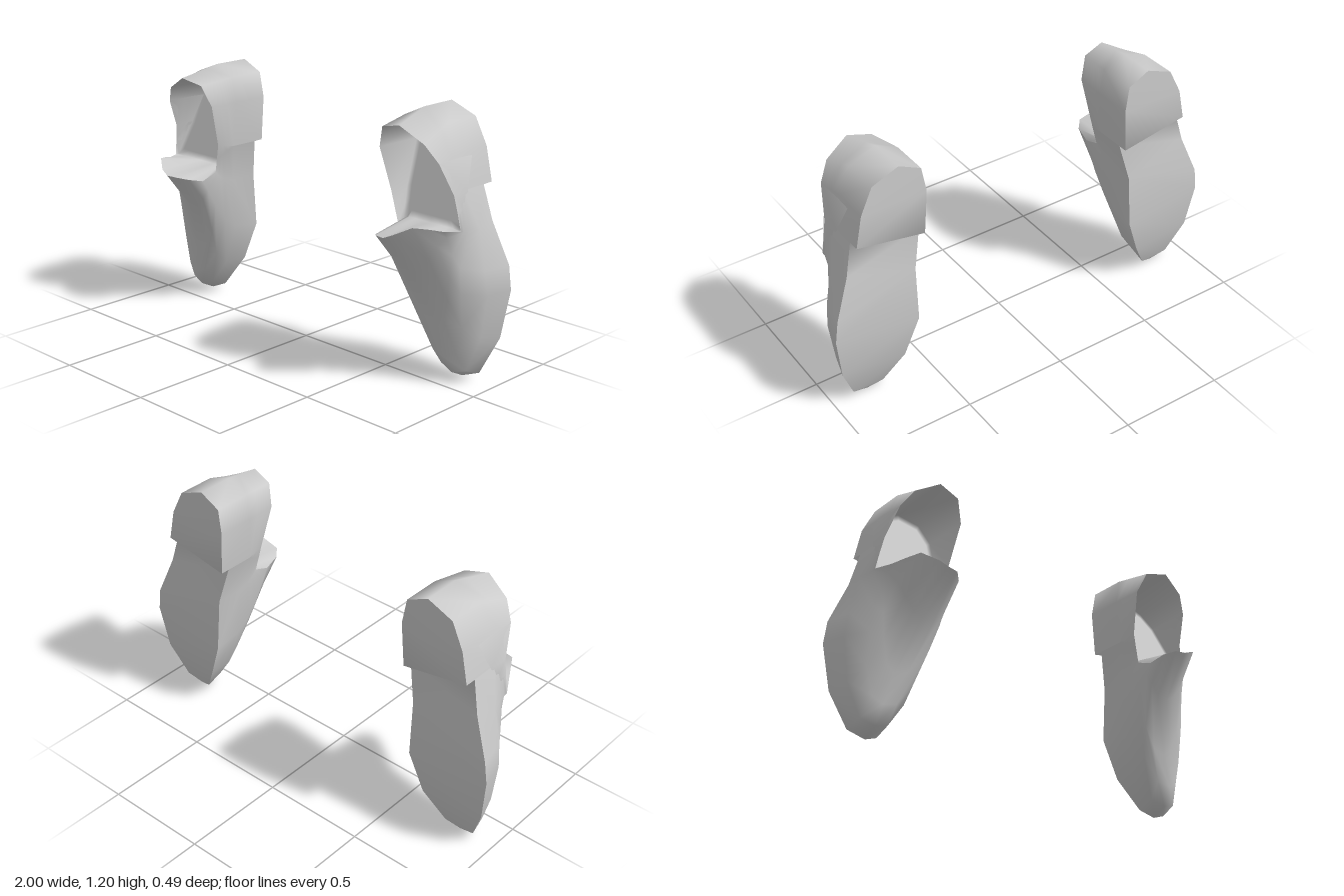
import * as THREE from 'three';

const material = new THREE.MeshStandardMaterial({ color: 0xcccccc, side: THREE.DoubleSide });

// Outline of the sole: toe tip, outer side, step up to the heel, round it, step down, inner side
const sole = [
  [.82, 0, -.148], [.9, .03, -.165], [.97, .2, -.212], [1, .42, -.235], [.985, .53, -.235], [.91, .72, -.205],
  [.872, .876, -.185], [.872, .878, -.24], [.84, 1.03, -.237], [.78, 1.15, -.232], [.65, 1.2, -.23],
  [.545, 1.15, -.232], [.525, 1.03, -.237], [.54, .815, -.236], [.542, .813, -.19],
  [.585, .63, -.22], [.59, .37, -.242], [.66, .18, -.225], [.75, .03, -.17],
];
// Edge of the foot opening: tongue tip, outer side, heel collar, inner side
const rim = [
  [.69, .695, .245], [.735, .715, .237], [.8, .75, .19], [.835, .738, .13], [.87, .722, .07], [.908, .715, .005],
  [.892, .8, .012], [.878, .87, .02], [.848, 1.01, .085], [.795, 1.09, .12], [.68, 1.155, .145],
  [.57, 1.13, .125], [.53, 1.03, .095], [.552, .83, .04], [.568, .76, .035],
  [.585, .69, .03], [.588, .66, .11], [.6, .68, .19], [.64, .693, .235],
];
// Vamp sections between sole and rim; t places the heel quarter between its crest and the collar
const vamp = [
  { t: 0, outer: [[.82, .038, -.072], [.89, .06, -.085], [.945, .22, -.11], [.972, .42, -.11], [.96, .53, -.1], [.925, .71, -.1]],
    inner: [[.583, .63, -.08], [.592, .39, -.1], [.665, .18, -.1], [.75, .06, -.085]] },
  { t: .33, outer: [[.815, .12, -.025], [.865, .15, -.037], [.895, .27, -.04], [.9, .43, -.02], [.9, .55, -.01], [.912, .71, -.045]],
    inner: [[.585, .645, -.03], [.59, .44, -.03], [.665, .25, -.037], [.745, .14, -.03]] },
  { t: .67, outer: [[.775, .27, -.014], [.815, .3, -.012], [.845, .4, .003], [.865, .51, .02], [.878, .61, .02], [.908, .712, -.015]],
    inner: [[.585, .66, 0], [.586, .53, .035], [.635, .38, .015], [.71, .29, -.012]] },
  { t: .9, outer: [[.71, .51, .085], [.755, .535, .083], [.8, .59, .082], [.835, .65, .068], [.868, .69, .046], [.908, .714, 0]],
    inner: [[.585, .68, .02], [.586, .61, .08], [.605, .565, .097], [.65, .52, .09]] },
];

const mix = (a, b, t) => a.map((v, i) => v + (b[i] - v) * t);

// Build a smooth surface, mirrored for the right shoe
function surface(points, triangles, side) {
  const g = new THREE.BufferGeometry();
  g.setAttribute('position', new THREE.Float32BufferAttribute(points.flatMap(([x, y, z]) => [x * side, y, z]), 3));
  g.setIndex(triangles.flatMap(([a, b, c]) => (side > 0 ? [a, b, c] : [a, c, b])));
  g.computeVertexNormals();
  return g;
}

// Join closed loops of equal length, optionally closed to a centre point
function loft(loops, side, centre) {
  const n = loops[0].length, triangles = [];
  const points = loops.flat().concat(centre ? [centre] : []);
  for (let i = 0; i < n; i++) {
    const k = (i + 1) % n;
    for (let j = 0; j < loops.length - 1; j++) {
      const a = j * n + i, b = j * n + k;
      triangles.push([a, b, a + n], [b, b + n, a + n]);
    }
    const last = (loops.length - 1) * n;
    if (centre) triangles.push([last + i, last + k, points.length - 1]);
  }
  return surface(points, triangles, side);
}

function createShoe(side) {
  const shoe = new THREE.Group();
  shoe.name = side > 0 ? 'leftShoe' : 'rightShoe';
  const add = (name, geometry) => {
    const mesh = new THREE.Mesh(geometry, material);
    mesh.name = name;
    shoe.add(mesh);
  };

  // Upper: toe box, tongue and heel quarter
  const sections = vamp.map(({ t, outer, inner }) => {
    const quarter = sole.slice(6, 15).map(([x, y], i) => mix([x, y, -.05], rim[i + 6], t));
    return [...outer, ...quarter, ...inner];
  });
  add('upper', loft([sole, ...sections, rim], side));

  // Lining: thin walls down to an insole that slopes from the heel seat forward to the tongue
  const insole = ([x, y]) => [x, y, -.01 - (y - .715) * .42];
  const wall = rim.map((p, i) => (i < 5 || i > 15
    ? insole([p[0] + (.72 - p[0]) * .1, .715])
    : insole(mix(p.slice(0, 2), [.71, .9], .02))));
  const seat = wall.map((p) => insole(mix(p.slice(0, 2), [.71, .9], .15)));
  add('lining', loft([rim, wall, seat], side, insole([.71, .9])));

  // Sole and heel underside: forefoot, shank, heel breast, heel seat
  const panels = [
    [18, 0, 1], [17, 18, 1, 2], [16, 17, 2, 3], [15, 16, 3, 4], [15, 4, 5], [5, 6, 14, 15],
    [6, 7, 13, 14], [7, 8, 12, 13], [8, 9, 10, 11, 12],
  ];
  const faces = panels.flatMap((p) => p.slice(2).map((c, i) => [p[0], c, p[i + 1]]));
  add('soleAndHeel', surface(sole, faces, side));
  return shoe;
}

export function createModel() {
  const model = new THREE.Group();
  model.name = 'pairOfShoes';
  model.add(createShoe(1), createShoe(-1));
  return model;
}
